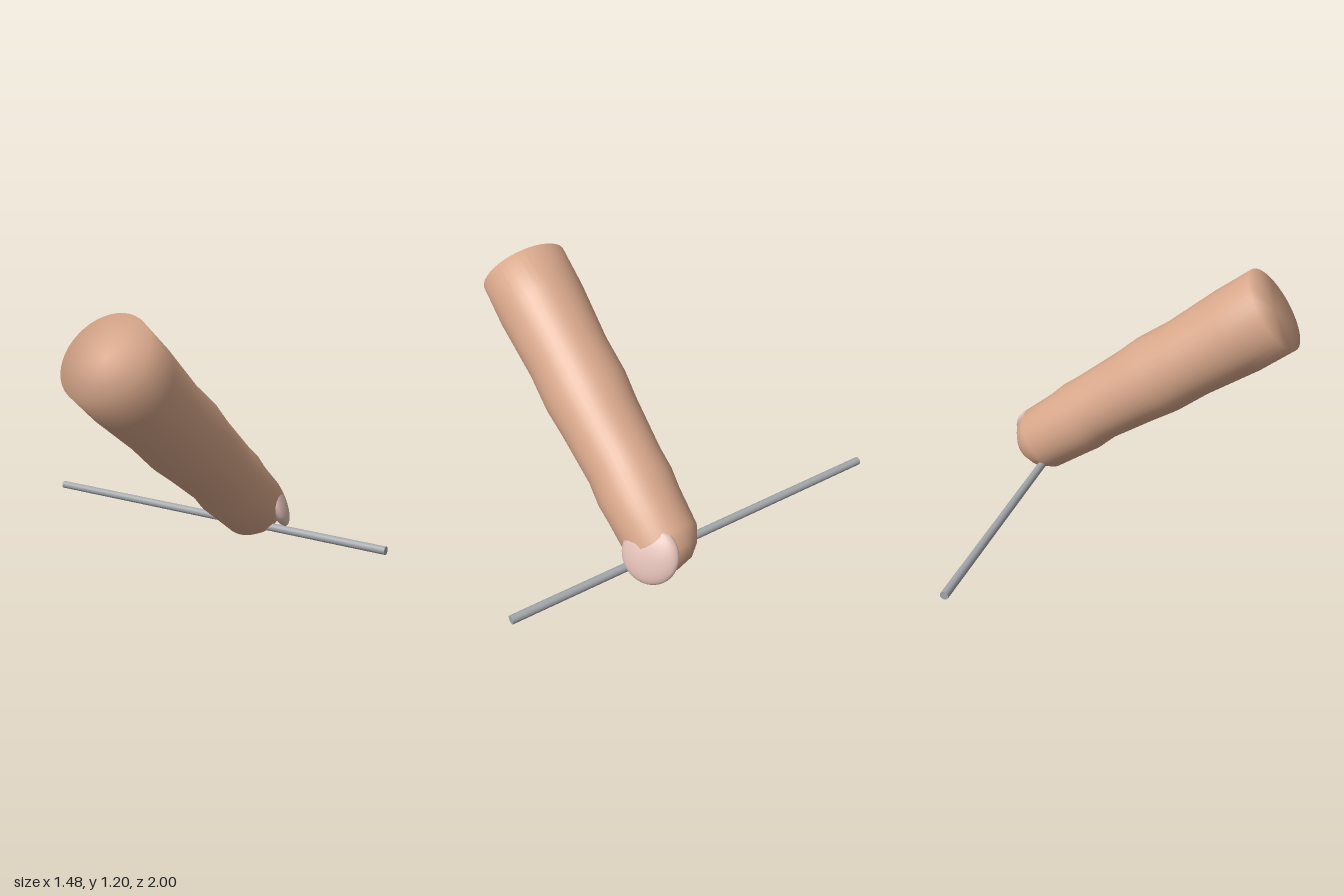
import * as THREE from 'three';

const skin = new THREE.MeshStandardMaterial({ color: 0xd9a88b });
skin.name = 'skin';
const nailPink = new THREE.MeshStandardMaterial({ color: 0xdfbdb4 });
nailPink.name = 'nail pink';
const metal = new THREE.MeshStandardMaterial({ color: 0xa4a7ab });
metal.name = 'metal';

const SIDES = 40;
const DEPTH = 0.25; // z of the finger's axis

// Closed, smooth tube through rings of [x, y, radius], all square to one axis
function fingerGeometry(rings) {
  const up = new THREE.Vector3(0.595, 0.804, 0).normalize();
  const positions = [];
  const index = [];
  for (const [x, y, r] of rings) {
    for (let j = 0; j < SIDES; j++) {
      const a = (j / SIDES) * Math.PI * 2;
      const c = Math.cos(a) * r;
      positions.push(x + up.x * c, y + up.y * c, DEPTH + Math.sin(a) * r);
    }
  }
  const last = rings.length - 1;
  const baseCentre = rings.length * SIDES;
  const tipCentre = baseCentre + 1;
  positions.push(rings[0][0], rings[0][1], DEPTH);
  positions.push(rings[last][0] + 0.018, rings[last][1] - 0.014, DEPTH);

  for (let j = 0; j < SIDES; j++) {
    const k = (j + 1) % SIDES;
    for (let i = 0; i < last; i++) {
      const a = i * SIDES, b = a + SIDES;
      index.push(a + j, a + k, b + j, a + k, b + k, b + j);
    }
    index.push(baseCentre, k, j);
    index.push(tipCentre, last * SIDES + j, last * SIDES + k);
  }
  const g = new THREE.BufferGeometry();
  g.setAttribute('position', new THREE.Float32BufferAttribute(positions, 3));
  g.setIndex(index);
  g.computeVertexNormals();
  return g;
}

export function createModel() {
  const model = new THREE.Group();
  model.name = 'finger on rod';

  // Finger: slightly uneven shaft, flat base, rounded tip
  const finger = new THREE.Mesh(fingerGeometry([
    [-0.615, 1.03, 0.212],
    [-0.455, 0.907, 0.214],
    [-0.22, 0.732, 0.199],
    [-0.07, 0.622, 0.204],
    [0.045, 0.537, 0.192],
    [0.25, 0.39, 0.18],
    [0.335, 0.32, 0.186],
    [0.41, 0.26, 0.178],
    [0.555, 0.153, 0.171],
    [0.615, 0.108, 0.133],
    [0.65, 0.082, 0.085],
  ]), skin);
  finger.name = 'finger';
  model.add(finger);

  // Nail: flattened ellipsoid set into the side of the tip
  const nail = new THREE.Mesh(new THREE.SphereGeometry(1, 40, 24), nailPink);
  nail.name = 'nail';
  nail.scale.set(0.135, 0.135, 0.046);
  nail.position.set(0.615, 0.175, 0.36);
  nail.quaternion.setFromUnitVectors(
    new THREE.Vector3(0, 0, 1),
    new THREE.Vector3(0.45, 0.4, 0.8).normalize()
  );
  model.add(nail);

  // Rod: thin bar running front to back through the tip
  const rod = new THREE.Mesh(new THREE.CylinderGeometry(0.02, 0.02, 2, 24), metal);
  rod.name = 'rod';
  rod.rotation.x = Math.PI / 2;
  rod.position.set(0.521, 0.064, 0);
  model.add(rod);

  return model;
}
